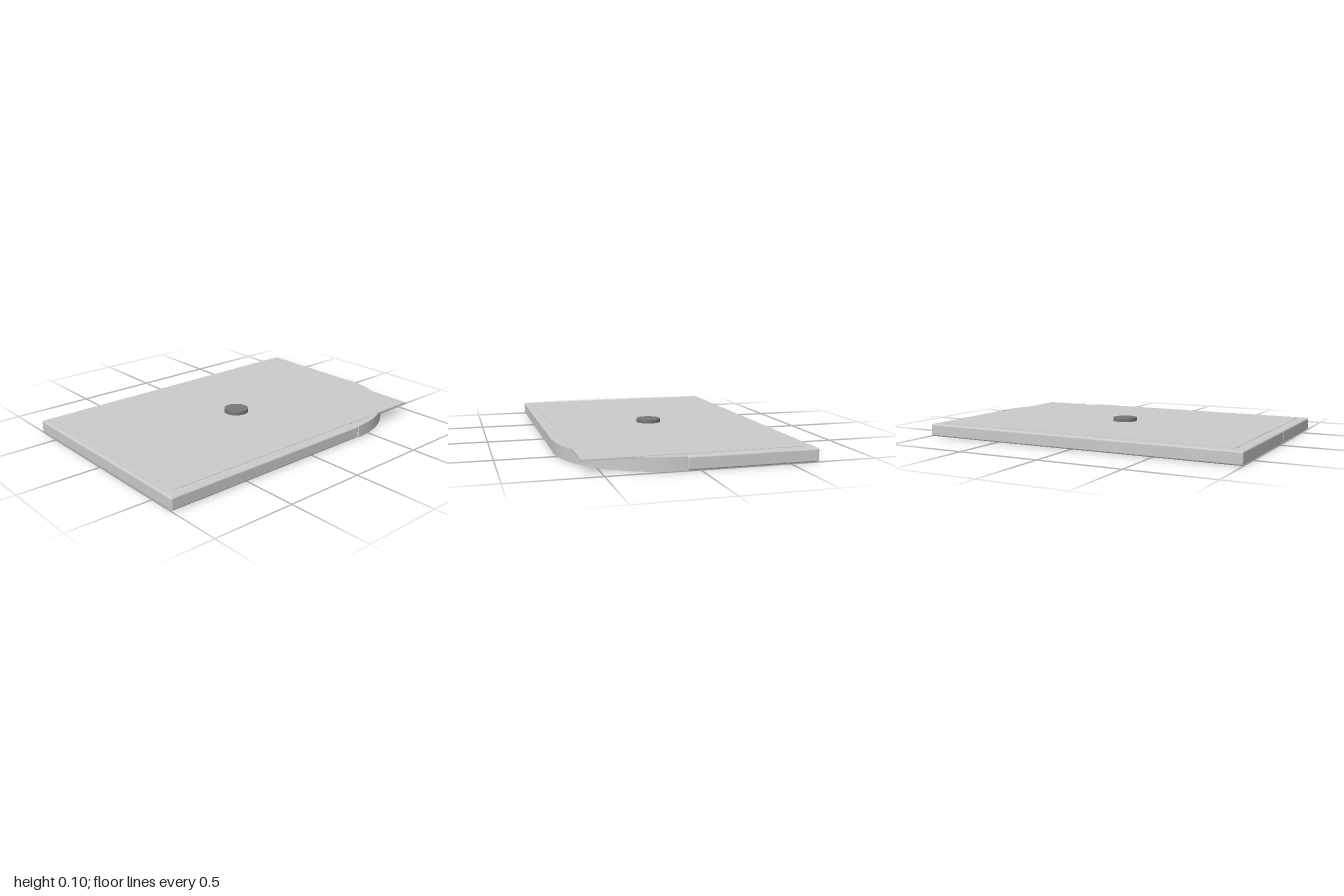
import * as THREE from 'three';
import { RoundedBoxGeometry } from 'three/addons/geometries/RoundedBoxGeometry.js';

const HEIGHT = 0.075;
const CORNER = 0.6; // radius of the rounded corner
const SEAM_X = 0.4, SEAM_Z = 0.067;

export function createModel() {
  const model = new THREE.Group();
  const grey = new THREE.MeshStandardMaterial({ color: 0xcccccc });
  const greyOpen = new THREE.MeshStandardMaterial({ color: 0xcccccc, side: THREE.DoubleSide });
  const dark = new THREE.MeshStandardMaterial({ color: 0x777779 });

  const add = (name, geometry, material, x, y, z) => {
    const mesh = new THREE.Mesh(geometry, material);
    mesh.name = name;
    mesh.position.set(x, y, z);
    model.add(mesh);
  };

  // Softly rounded slab between two corners on the ground plane
  const slab = (name, x0, x1, z0, z1) =>
    add(name, new RoundedBoxGeometry(x1 - x0, HEIGHT, z1 - z0, 3, 0.01), grey,
      (x0 + x1) / 2, HEIGHT / 2, (z0 + z1) / 2);

  // Base: full-width back, narrower front and a quarter-round corner
  slab('backSlab', -1, 1, -0.667, SEAM_Z);
  slab('frontSlab', -1, SEAM_X, SEAM_Z, 0.667);
  add('roundedCorner',
    new THREE.CylinderGeometry(CORNER, CORNER, HEIGHT, 32, 1, false, 0, Math.PI / 2),
    greyOpen, SEAM_X, HEIGHT / 2, SEAM_Z);

  // Thin top sheet whose square corner overhangs the rounded one
  add('topSheet', new THREE.BoxGeometry(1.876, 0.01, 1.21), grey, 0, 0.072, 0);

  // Dark round button in the middle
  add('centreButton', new THREE.CylinderGeometry(0.075, 0.075, 0.023, 32), dark, 0, 0.0865, 0);

  return model;
}
